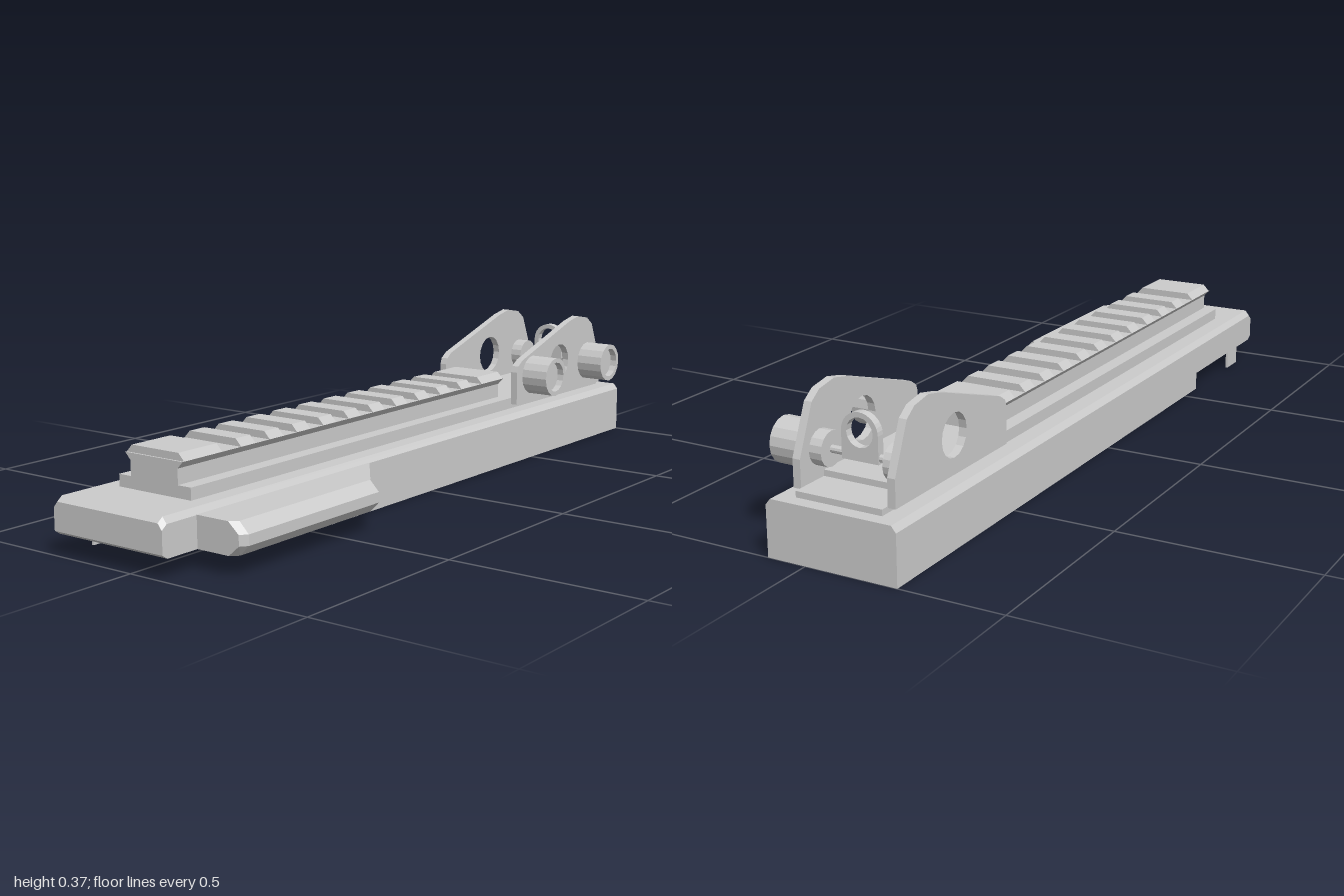
import * as THREE from 'three';

const CX = -0.069; // centre line of the body in x
const mat = new THREE.MeshStandardMaterial({ color: 0xcccccc, flatShading: true, side: THREE.DoubleSide });

export function createModel() {
  const root = new THREE.Group();

  function add(name, geo, x = 0, y = 0, z = 0) {
    const m = new THREE.Mesh(geo, mat);
    m.name = name;
    m.position.set(x, y, z);
    root.add(m);
    return m;
  }

  // box given by its limits
  function box(name, x0, x1, y0, y1, z0, z1) {
    return add(name, new THREE.BoxGeometry(x1 - x0, y1 - y0, z1 - z0),
      (x0 + x1) / 2, (y0 + y1) / 2, (z0 + z1) / 2);
  }

  // skin through convex cross-sections [z, [[x, y], ...]], counter-clockwise from the front
  function loft(name, sections) {
    const n = sections[0][1].length, pos = [], idx = [];
    for (const [z, ring] of sections) for (const [x, y] of ring) pos.push(x, y, z);
    for (let k = 0; k < sections.length - 1; k++) {
      for (let i = 0; i < n; i++) {
        const a = k * n + i, b = k * n + (i + 1) % n;
        idx.push(a, b, b + n, a, b + n, a + n);
      }
    }
    const e = (sections.length - 1) * n;
    for (let i = 1; i < n - 1; i++) idx.push(0, i + 1, i, e, e + i, e + i + 1);
    const g = new THREE.BufferGeometry();
    g.setAttribute('position', new THREE.Float32BufferAttribute(pos, 3));
    g.setIndex(idx);
    const flat = g.toNonIndexed();
    flat.computeVertexNormals();
    return add(name, flat);
  }

  const polygon = pts => new THREE.Shape(pts.map(p => new THREE.Vector2(...p)));
  const hole = (x, y, r) => new THREE.Path().absarc(x, y, r, 0, Math.PI * 2, true);
  const extrude = (shape, depth) =>
    new THREE.ExtrudeGeometry(shape, { depth, bevelEnabled: false, curveSegments: 8 });

  // body: upper part with chamfered top edges and nose
  const bodyRing = (lo, hi, c) => [[-0.238, lo], [0.1, lo], [0.1, hi - 0.015],
    [0.1 - c, hi], [c - 0.238, hi], [-0.238, hi - 0.015]];
  loft('bodyUpper', [
    [-1, bodyRing(0.048, 0.14, 0.012)],
    [0.985, bodyRing(0.048, 0.14, 0.012)],
    [1, bodyRing(0.058, 0.128, 0.012)],
  ]);

  // body: lower slab, side skirt, small foot and latch
  box('bodyLower', -0.238, 0.1, 0, 0.048, -1, 0.42);
  box('skirt', -0.238, -0.232, 0, 0.048, 0.42, 0.58);
  box('foot', -0.238, -0.232, 0, 0.048, 0.82, 0.89);
  box('latch', 0.032, 0.101, 0.007, 0.04, 0.27, 0.43);

  // side block with pointed outer edge and sloped rear
  const blockRing = (tip, flat, lo = 0.048, hi = 0.126) => [[0.09, lo], [flat, lo],
    [tip, 0.074], [tip, 0.1], [flat, hi], [0.09, hi]];
  loft('sideBlock', [
    [0.27, blockRing(0.1, 0.1)],
    [0.41, blockRing(0.21, 0.21)],
    [0.411, blockRing(0.236, 0.21)],
    [0.875, blockRing(0.236, 0.21)],
    [0.892, blockRing(0.222, 0.192)],
  ]);

  // rail base and its lower rear end
  box('railBase', -0.181, 0.044, 0.138, 0.17, -0.86, 0.85);
  box('railBaseRear', -0.181, 0.044, 0.138, 0.155, -0.965, -0.86);

  // dovetail rail: half profile mirrored about the centre line
  const half = [[0.074, 0.168], [0.074, 0.208], [0.09, 0.225]];
  const mirrored = h => [...h, ...h.map(([x, y]) => [-x, y]).reverse()];
  add('rail', extrude(polygon(mirrored(half)), 1.315), CX, 0, -0.465);

  // rail teeth: long end teeth and evenly spaced ones between
  const toothShape = polygon(mirrored([[0.09, 0.225], [0.073, 0.243]]));
  const tooth = (z0, z1) => add('railTooth', extrude(toothShape, z1 - z0), CX, 0, z0);
  tooth(0.72, 0.845);
  for (let k = 0; k < 10; k++) tooth(0.605 - 0.101 * k, 0.655 - 0.101 * k);
  tooth(-0.463, -0.355);

  // pair of protective side plates with a round window
  const plate = polygon([[0.472, 0.152], [0.945, 0.152], [0.945, 0.22], [0.895, 0.338],
    [0.865, 0.36], [0.81, 0.37], [0.76, 0.36], [0.5, 0.277], [0.478, 0.262], [0.472, 0.245]]);
  plate.holes.push(hole(0.705, 0.245, 0.053));
  for (const [name, x] of [['rightSightPlate', -0.202], ['leftSightPlate', 0.044]]) {
    add(name, extrude(plate, 0.02).rotateY(Math.PI / 2), x);
  }

  // recessed adjustment knobs on the left
  const knobProfile = [[0, 0], [0.055, 0], [0.055, 0.079], [0.042, 0.079], [0.042, 0.06], [0, 0.06]]
    .map(p => new THREE.Vector2(...p));
  for (const z of [-0.555, -0.868]) {
    add('knob', new THREE.LatheGeometry(knobProfile, 16).rotateZ(-Math.PI / 2), 0.064, 0.229, z);
  }

  // inner bosses and cross rod
  const rod = (name, x0, x1, r, sides) => add(name,
    new THREE.CylinderGeometry(r, r, x1 - x0, sides).rotateZ(Math.PI / 2), (x0 + x1) / 2, 0.228, -0.87);
  rod('rightBoss', -0.183, -0.148, 0.042, 16);
  rod('leftBoss', 0.012, 0.046, 0.042, 16);
  rod('crossRod', -0.15, 0.014, 0.009, 10);

  // rear aperture: arch with a round opening
  const arch = new THREE.Shape();
  arch.moveTo(-0.048, 0.215);
  arch.lineTo(0.048, 0.215);
  arch.absarc(0, 0.28, 0.048, 0, Math.PI, false);
  arch.closePath();
  arch.holes.push(hole(0, 0.281, 0.035));
  add('aperture', extrude(arch, 0.02), CX, 0, -0.88);

  return root;
}
